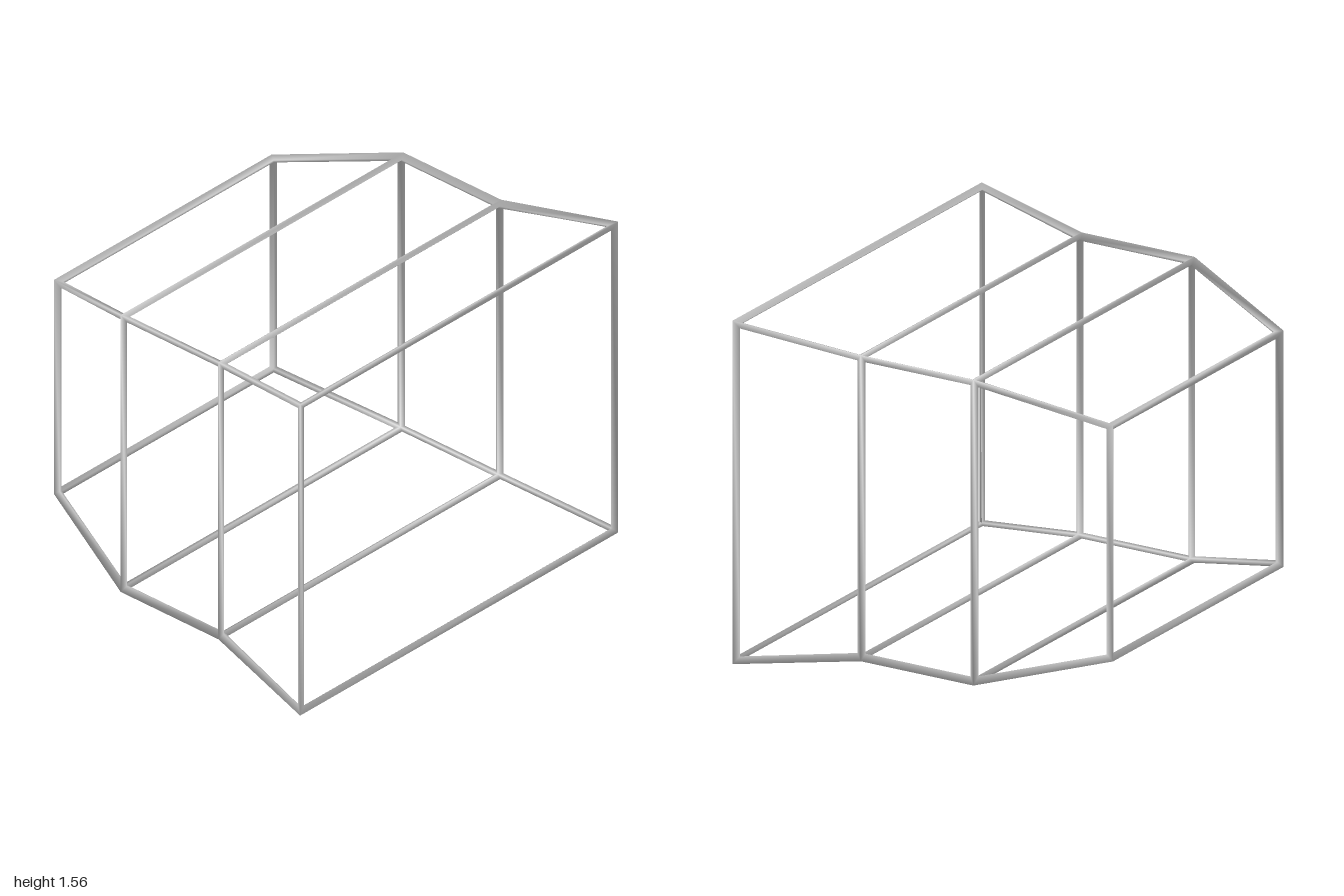
import * as THREE from 'three';

// Four rectangular rings, front to back: z, half width, bottom, top
const RINGS = [
  { z: 0.847, w: 0.988, y0: 0.012, y1: 1.543 },
  { z: 0.285, w: 0.875, y0: 0.103, y1: 1.462 },
  { z: -0.278, w: 0.875, y0: 0.103, y1: 1.462 },
  { z: -0.84, w: 0.676, y0: 0.256, y1: 1.308 },
];
const R = 0.0195; // half the thickness of a bar

// Turns every edge of a closed polygon hull into a mitred bar of diamond section
function strutGeometry(corners, faces) {
  const normals = corners.map(() => new THREE.Vector3());
  const edge = (a, b) => corners[b].clone().sub(corners[a]).normalize();
  for (const f of faces) {
    const n = edge(f[0], f[1]).cross(edge(f[0], f[3])).normalize();
    f.forEach((v) => normals[v].add(n));
  }
  normals.forEach((n) => n.normalize());

  // Ridge points outside and inside each corner
  const n = corners.length;
  const points = [
    ...corners.map((c, i) => c.clone().addScaledVector(normals[i], R)),
    ...corners.map((c, i) => c.clone().addScaledVector(normals[i], -R)),
  ];
  const index = [];
  const quad = (a, b, c, d) => index.push(a, b, c, a, c, d);

  for (const f of faces) {
    // Inset points in the plane of the face, at an even distance from its edges
    const base = points.length;
    f.forEach((v, i) => {
      const next = edge(v, f[(i + 1) % 4]);
      const prev = edge(v, f[(i + 3) % 4]);
      const sine = Math.sin(next.angleTo(prev));
      points.push(corners[v].clone().addScaledVector(next.add(prev), R / sine));
    });
    f.forEach((a, i) => {
      const j = (i + 1) % 4;
      const b = f[j];
      quad(a, b, base + j, base + i); // outer side of the bar
      quad(n + b, n + a, base + i, base + j); // inner side of the bar
    });
  }
  const geometry = new THREE.BufferGeometry().setFromPoints(points);
  geometry.setIndex(index);
  geometry.computeVertexNormals();
  return geometry;
}

export function createModel() {
  const group = new THREE.Group();
  group.name = 'wireCage';

  // Ring corners run counter-clockwise seen from the front
  const corners = RINGS.flatMap(({ z, w, y0, y1 }) =>
    [[-w, y0], [w, y0], [w, y1], [-w, y1]].map(([x, y]) => new THREE.Vector3(x, y, z)));

  // Front and back openings, then the side panels between rings
  const last = (RINGS.length - 1) * 4;
  const faces = [[0, 1, 2, 3], [last + 3, last + 2, last + 1, last]];
  for (let r = 0; r < last; r += 4) {
    for (let k = 0; k < 4; k++) {
      const j = (k + 1) % 4;
      faces.push([r + k, r + 4 + k, r + 4 + j, r + j]);
    }
  }

  const frame = new THREE.Mesh(
    strutGeometry(corners, faces),
    new THREE.MeshStandardMaterial({ color: 0xcccccc }),
  );
  frame.name = 'frameBars';
  group.add(frame);
  return group;
}
